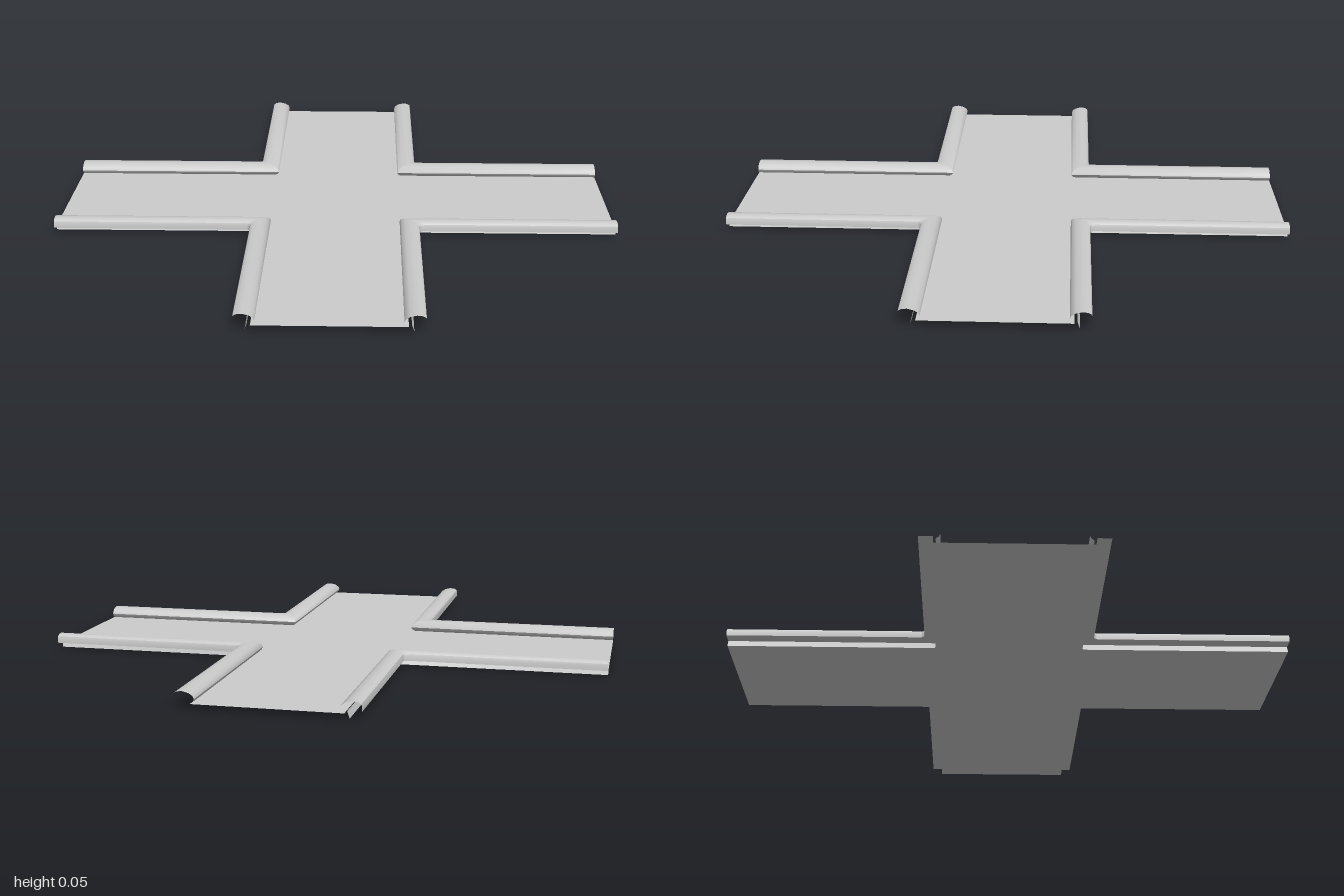
import * as THREE from 'three';
import { toCreasedNormals } from 'three/addons/utils/BufferGeometryUtils.js';

const FLOOR_Y = 0.015;

// Rail section: [distance from the arm's centre line, height], inside to outside
const RAIL = [
  [0.245, FLOOR_Y], [0.236, 0.021], [0.231, 0.031], [0.235, 0.041], [0.249, 0.05],
  [0.27, 0.055], [0.288, 0.053], [0.298, 0.047], [0.3, 0.04], [0.3, 0.023],
  [0.254, 0.023], [0.262, 0],
];

// Plus-shaped outline with arms of half width w
function crossShape(w) {
  const quarter = [[1, -w], [1, w], [w, w]];
  const points = [];
  for (let k = 0; k < 4; k++) {
    for (const [x, y] of quarter) {
      points.push(new THREE.Vector2(x, y).rotateAround(new THREE.Vector2(), k * Math.PI / 2));
    }
  }
  return new THREE.Shape(points);
}

// Path of one section point: along one arm, round the inner corner, out along the next
function cornerPath(d) {
  const r = 0.002 + 0.25 * Math.max(0, d - 0.24);
  const path = [[d, 1]];
  const steps = 5;
  for (let i = 0; i <= steps; i++) {
    const a = (i / steps) * Math.PI / 2;
    path.push([d + r - r * Math.cos(a), d + r - r * Math.sin(a)]);
  }
  path.push([1, d]);
  return path;
}

// Open-ended rail swept around one corner of the cross
function railGeometry() {
  const positions = [];
  const index = [];
  const paths = RAIL.map(([d]) => cornerPath(d));
  const n = paths[0].length;
  paths.forEach((path, i) => {
    for (const [x, z] of path) positions.push(x, RAIL[i][1], z);
  });
  for (let i = 0; i < RAIL.length - 1; i++) {
    for (let j = 0; j < n - 1; j++) {
      const a = i * n + j;
      index.push(a, a + n, a + 1, a + 1, a + n, a + n + 1);
    }
  }
  const geometry = new THREE.BufferGeometry();
  geometry.setAttribute('position', new THREE.Float32BufferAttribute(positions, 3));
  geometry.setIndex(index);
  return toCreasedNormals(geometry, 0.75);
}

export function createModel() {
  const model = new THREE.Group();
  model.name = 'crossJunction';
  const material = new THREE.MeshStandardMaterial({ color: 0xcccccc });

  // Floor surface and underside
  const top = new THREE.Mesh(new THREE.ShapeGeometry(crossShape(RAIL[0][0])).rotateX(-Math.PI / 2), material);
  top.name = 'floorTop';
  top.position.y = FLOOR_Y;
  const bottom = new THREE.Mesh(
    new THREE.ShapeGeometry(crossShape(RAIL[RAIL.length - 1][0])).rotateX(Math.PI / 2), material);
  bottom.name = 'floorUnderside';
  model.add(top, bottom);

  // One L-shaped rail per corner
  const geometry = railGeometry();
  for (let k = 0; k < 4; k++) {
    const rail = new THREE.Mesh(geometry, material);
    rail.name = 'cornerRail' + (k + 1);
    rail.rotation.y = k * Math.PI / 2;
    model.add(rail);
  }
  return model;
}
